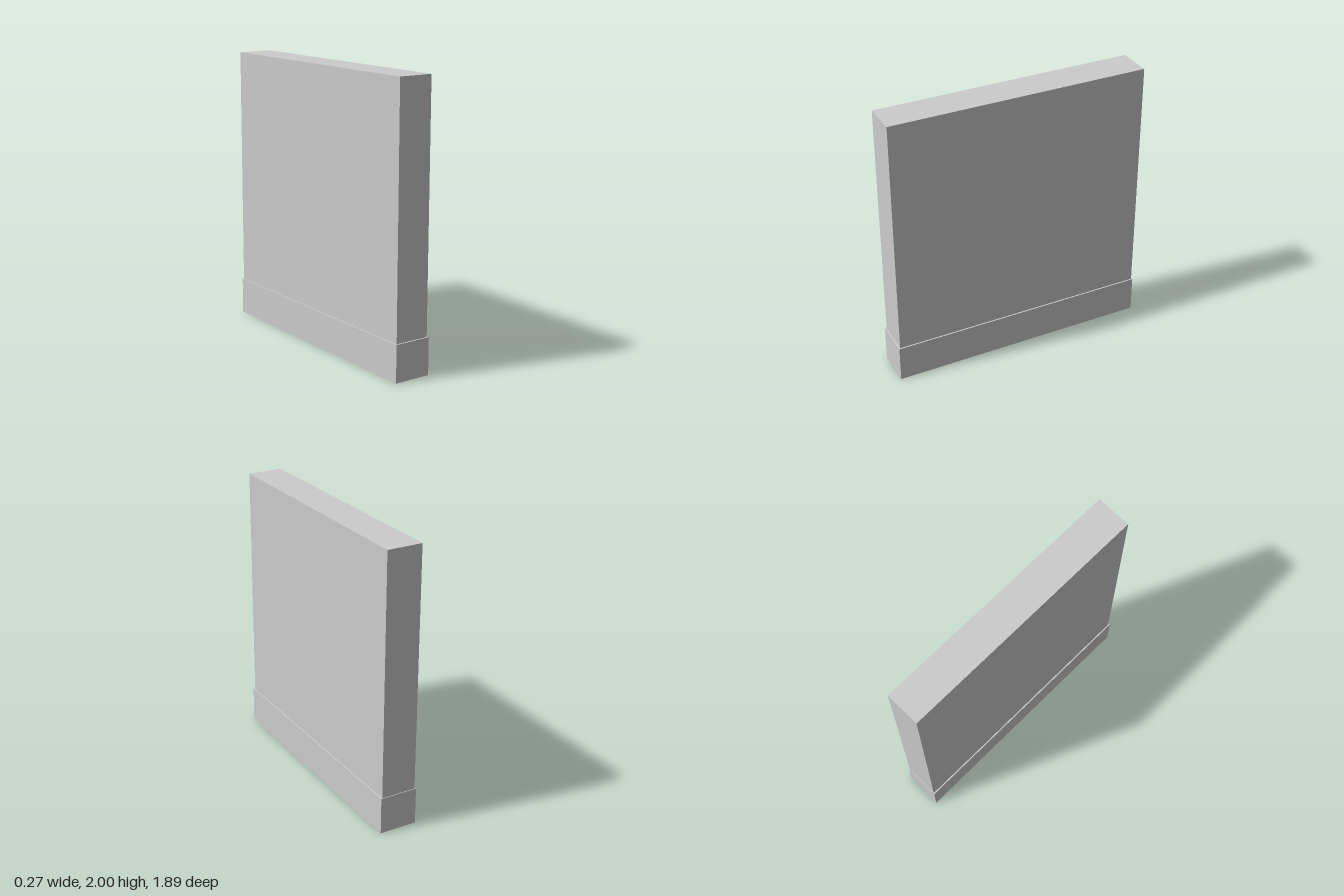
import * as THREE from 'three';

export function createModel() {
  const model = new THREE.Group();
  const material = new THREE.MeshStandardMaterial({ color: 0xcccccc, flatShading: true });

  // Box given by its lowest and highest corners
  function addBox(name, [x0, y0, z0], [x1, y1, z1]) {
    const mesh = new THREE.Mesh(new THREE.BoxGeometry(x1 - x0, y1 - y0, z1 - z0), material);
    mesh.position.set((x0 + x1) / 2, (y0 + y1) / 2, (z0 + z1) / 2);
    mesh.name = name;
    model.add(mesh);
  }

  // Slightly wider plinth
  const baseTop = 0.265;
  addBox('base', [-0.136, 0, -0.945], [0.136, baseTop, 0.945]);

  // Three wall panels standing edge to edge
  const seams = [-0.94, -0.19, 0.193, 0.935];
  ['backPanel', 'middlePanel', 'frontPanel'].forEach((name, i) => {
    addBox(name, [-0.127, baseTop, seams[i]], [0.126, 2, seams[i + 1]]);
  });

  return model;
}
